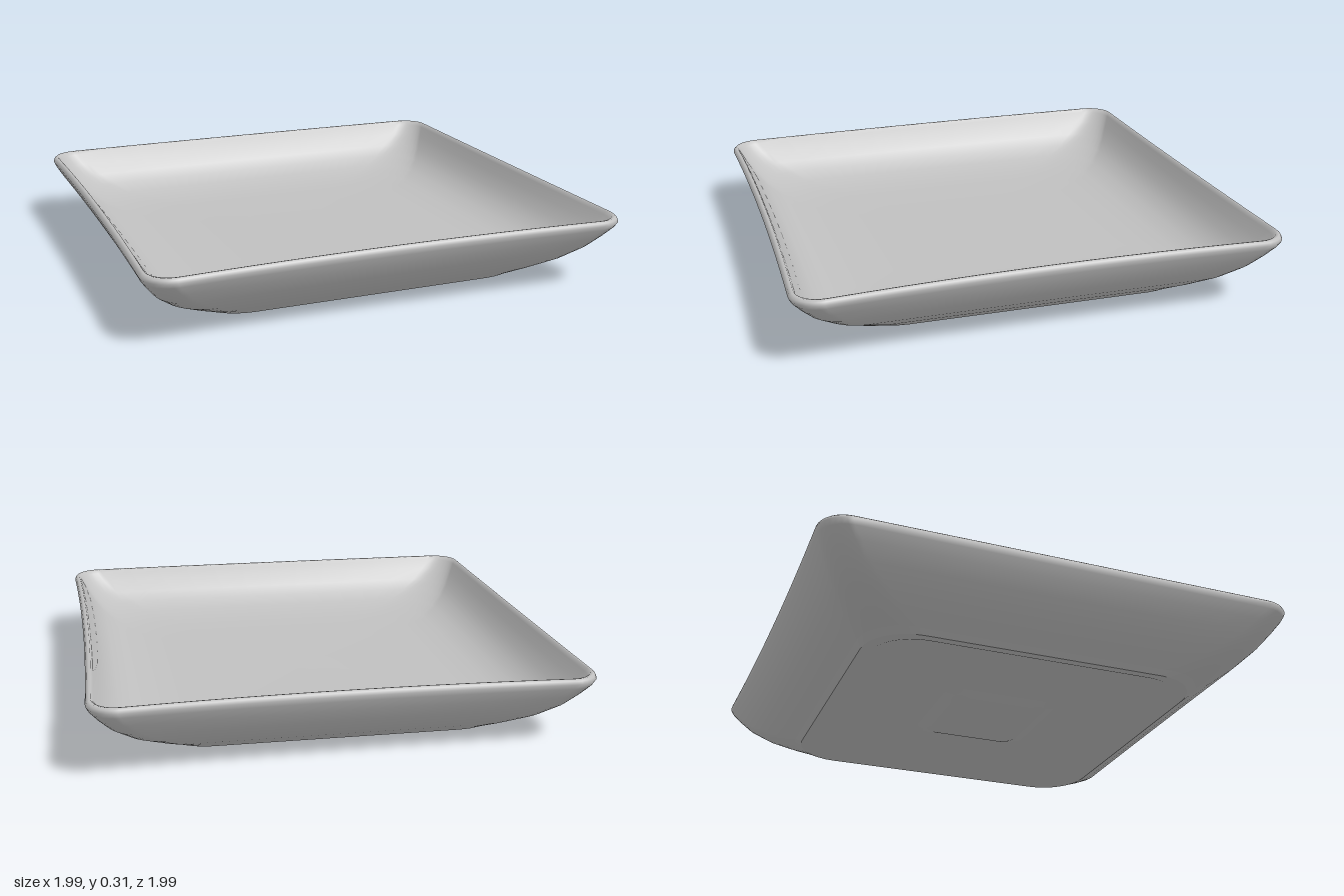
import * as THREE from 'three';

// Points of a rounded square with half-width h and corner radius r
function ring(h, r) {
  const pts = [], arc = 8, edge = 12;
  for (let k = 0; k < 4; k++) {
    const c = Math.cos(k * Math.PI / 2), s = Math.sin(k * Math.PI / 2);
    const add = (x, z) => pts.push([x * c - z * s, x * s + z * c]);
    for (let i = 0; i < edge; i++) add(h, (h - r) * (2 * i / edge - 1));
    for (let i = 0; i < arc; i++) {
      const a = i / arc * Math.PI / 2;
      add(h - r + r * Math.cos(a), h - r + r * Math.sin(a));
    }
  }
  return pts;
}

// Handmade unevenness: pinched sides, sloping rim and slightly tilted base
function warp(x, y, z, h) {
  const t = Math.min(1, Math.max(0, y / 0.29)), w = t * t;
  const u = h > 0 ? x / h : 0, v = h > 0 ? z / h : 0;
  const px = x - Math.sign(x) * (x > 0 ? 0.022 : 0.014) * w * u * u * (1 - v * v);
  const pz = z - Math.sign(z) * 0.02 * w * v * v * (1 - u * u);
  const rim = 0.009 * x - 0.007 * z + 0.01 * (1 - z * z) + 0.008 * (1 - x * x) - 0.004;
  const base = 0.011 * x;
  return [px, y + rim * w + base * (1 - w), pz];
}

// Loft through [half-width, height, corner radius] sections
function loft(name, sections, material) {
  const pos = [], index = [];
  let n = 0;
  for (const [h, y, r] of sections) {
    const pts = ring(h, r);
    n = pts.length;
    for (const [x, z] of pts) pos.push(...warp(x, y, z, h));
  }
  for (let j = 0; j < sections.length - 1; j++) {
    for (let i = 0; i < n; i++) {
      const a = j * n + i, b = j * n + (i + 1) % n;
      index.push(a, a + n, b, b, a + n, b + n);
    }
  }
  const g = new THREE.BufferGeometry();
  g.setAttribute('position', new THREE.Float32BufferAttribute(pos, 3));
  g.setIndex(index);
  g.computeVertexNormals();
  const mesh = new THREE.Mesh(g, material);
  mesh.name = name;
  return mesh;
}

export function createModel() {
  const group = new THREE.Group();
  group.name = 'squareDish';
  const glaze = new THREE.MeshStandardMaterial({ color: 0xc0c0c0 });
  glaze.name = 'grey glaze';

  // Raised square in the middle of the underside
  group.add(loft('baseBoss', [
    [0, 0.009, 0], [0.16, 0.009, 0.05], [0.195, 0.011, 0.06],
    [0.225, 0.024, 0.07], [0.255, 0.034, 0.08],
  ], glaze));

  // Slightly hollowed underside ending in the foot's standing edge
  group.add(loft('underside', [
    [0.255, 0.034, 0.08], [0.45, 0.034, 0.13], [0.6, 0.033, 0.17],
    [0.645, 0.026, 0.18], [0.67, 0.014, 0.19], [0.71, 0.012, 0.2],
  ], glaze));

  // Low foot edge
  group.add(loft('foot', [[0.71, 0.012, 0.2], [0.735, 0.03, 0.19]], glaze));

  // Curved outer wall, thin rim and wide soft hollow in one smooth skin
  group.add(loft('bowl', [
    [0.735, 0.03, 0.19], [0.79, 0.062, 0.18], [0.862, 0.11, 0.16],
    [0.92, 0.165, 0.14], [0.962, 0.22, 0.13], [0.989, 0.262, 0.12],
    [0.998, 0.282, 0.12], [0.994, 0.295, 0.12], [0.985, 0.302, 0.11],
    [0.976, 0.3, 0.11], [0.967, 0.285, 0.11], [0.942, 0.242, 0.12],
    [0.905, 0.192, 0.14], [0.86, 0.151, 0.16], [0.8, 0.119, 0.18],
    [0.72, 0.098, 0.2], [0.6, 0.088, 0.18], [0.4, 0.084, 0.12], [0, 0.083, 0],
  ], glaze));
  return group;
}
